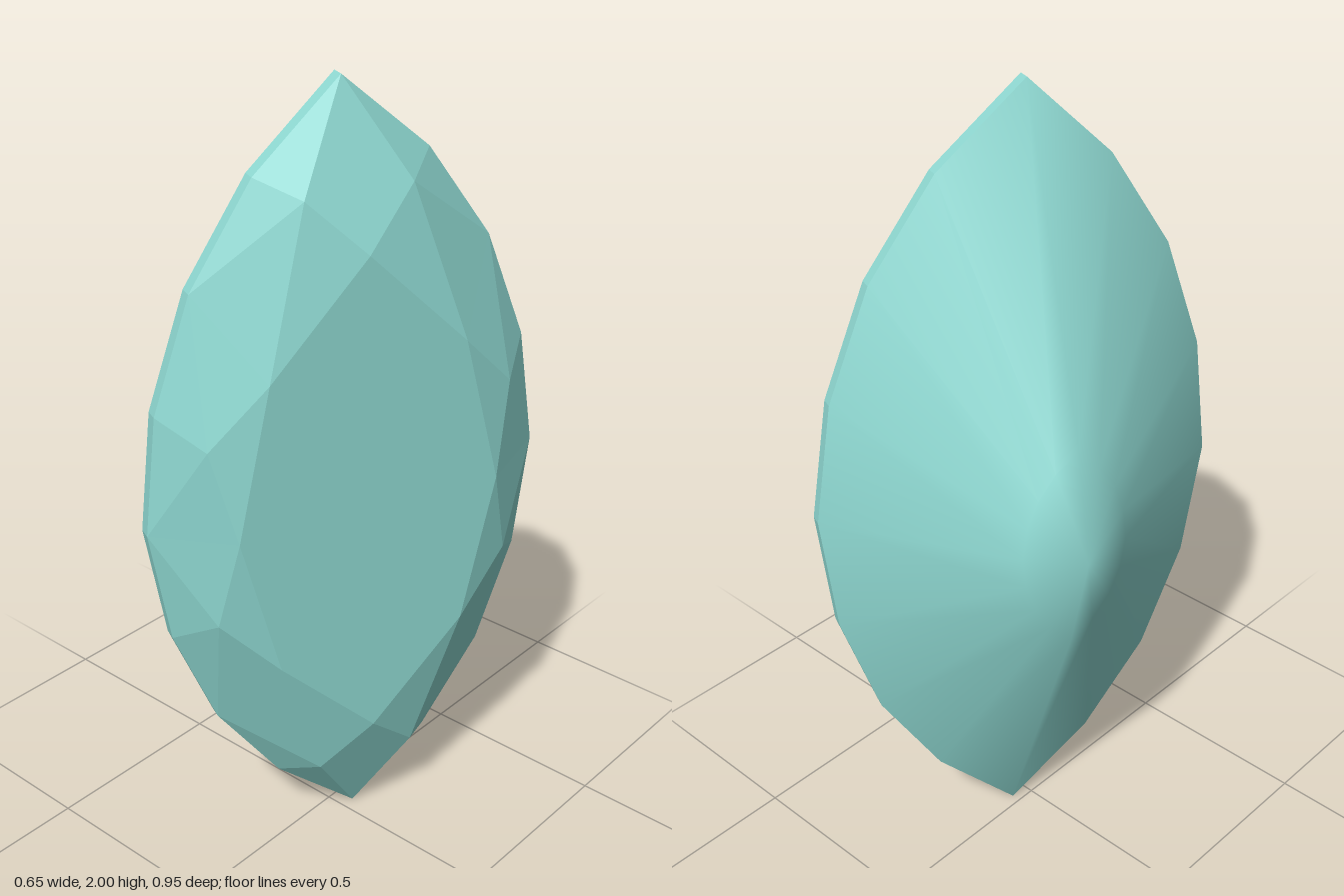
import * as THREE from 'three';

const TABLE_Z = 0.165, GIRDLE_Z = 0.033, APEX_Z = -0.396;

// Mirror a quarter outline [x, y, z] into a full counter-clockwise ring
function ring(quarter) {
  const back = [...quarter].reverse();
  const all = [
    ...quarter,
    ...back.map(([x, y, z]) => [-x, y, z]),
    ...quarter.map(([x, y, z]) => [-x, -y, z]),
    ...back.map(([x, y, z]) => [x, -y, z]),
  ];
  // Drop the doubled points on the axes
  return all.filter((p, i) => {
    const q = all[(i + 1) % all.length];
    return Math.hypot(p[0] - q[0], p[1] - q[1]) > 1e-6;
  });
}

// Rotate a ring so it starts at the point nearest the +x axis, above it
function startAtX(points) {
  const angle = ([x, y]) => (Math.atan2(y, x) + 2 * Math.PI + 1e-6) % (2 * Math.PI);
  return [...points].sort((a, b) => angle(a) - angle(b));
}

const atZ = (points, z, s = 1) => points.map(([x, y]) => [x * s, y * s, z]);

function buildMesh(name, points, index, material) {
  const geometry = new THREE.BufferGeometry();
  geometry.setAttribute('position', new THREE.Float32BufferAttribute(points.flat(), 3));
  if (index) geometry.setIndex(index);
  geometry.computeVertexNormals();
  const mesh = new THREE.Mesh(geometry, material);
  mesh.name = name;
  return mesh;
}

export function createModel() {
  const color = 0x8fd9d2;
  const flat = new THREE.MeshStandardMaterial({ color, flatShading: true });
  const smooth = new THREE.MeshStandardMaterial({ color });

  // Pointed oval outline, star facet tips and table corners
  const outline = startAtX(ring([[0.51, 0], [0.47, 0.3], [0.37, 0.575], [0.212, 0.81], [0, 1]]));
  const table = startAtX(ring([[0.335, 0, TABLE_Z], [0.245, 0.385, TABLE_Z], [0, 0.64, TABLE_Z]]));
  const star = startAtX(ring([[0.385, 0.235, 0.128], [0.13, 0.77, 0.118]]));
  const upper = atZ(outline, GIRDLE_Z), lower = atZ(outline, 0);
  const n = outline.length;

  // Crown: table, star, kite and upper girdle facets
  const crown = [];
  for (let i = 0; i < 8; i++) {
    const a = table[i], b = table[(i + 1) % 8], s = star[i];
    const g0 = upper[2 * i], g1 = upper[2 * i + 1], g2 = upper[(2 * i + 2) % n];
    crown.push([0, 0, TABLE_Z], a, b);
    crown.push(a, s, b);
    crown.push(a, g0, s, b, s, g2);
    crown.push(s, g0, g1, s, g1, g2);
  }

  // Girdle: thin band around the widest part
  const girdle = [];
  for (let i = 0; i < n; i++) {
    const j = (i + 1) % n;
    girdle.push(lower[i], lower[j], upper[j], lower[i], upper[j], upper[i]);
  }

  // Pavilion: smooth, slightly bulging cone down to the point
  const pavilion = [...lower, ...atZ(outline, -0.322, 0.255), [0, 0, APEX_Z]];
  const index = [];
  for (let i = 0; i < n; i++) {
    const j = (i + 1) % n;
    index.push(j, i, n + i, j, n + i, n + j);
    index.push(n + j, n + i, 2 * n);
  }

  const gem = new THREE.Group();
  gem.name = 'gem';
  gem.add(
    buildMesh('crown', crown, null, flat),
    buildMesh('girdle', girdle, null, flat),
    buildMesh('pavilion', pavilion, index, smooth),
  );

  // Stand the gem on its tip, table turned to the side and slightly forward
  const up = new THREE.Vector3(0.0175, 1, 0.05).normalize();
  const side = new THREE.Vector3().crossVectors(up, new THREE.Vector3(0.916, -0.036, 0.4)).normalize();
  const facing = new THREE.Vector3().crossVectors(side, up);
  gem.quaternion.setFromRotationMatrix(new THREE.Matrix4().makeBasis(side, up, facing));
  gem.position.set(0.04, 1, 0);

  const model = new THREE.Group();
  model.name = 'marquiseGem';
  model.add(gem);
  return model;
}
